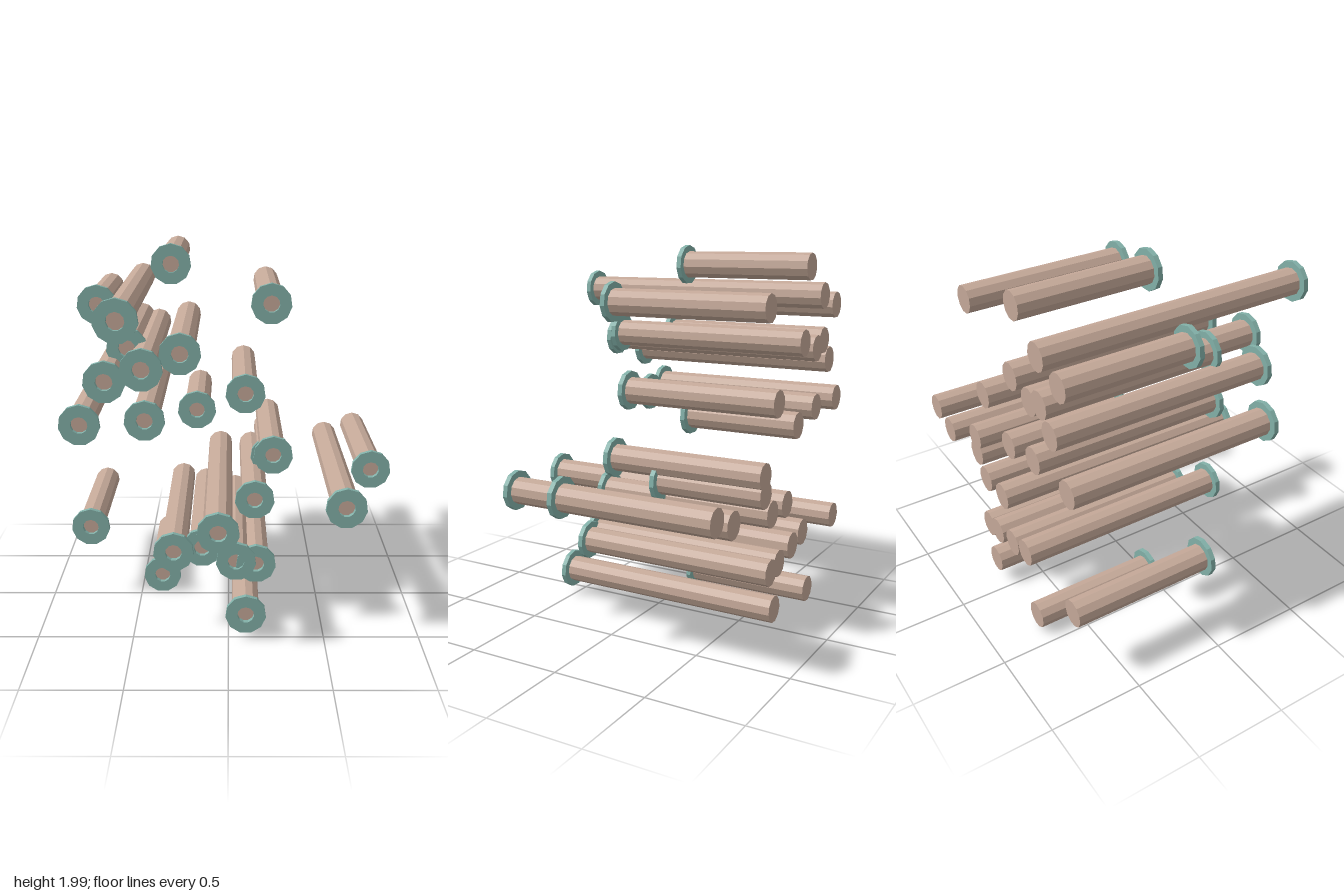
import * as THREE from 'three';

const SIDES = 11;
const BACK = -0.74;
const RING_THICKNESS = 0.026;
const SHAFT_RADIUS = 0.072;
const RING_RADIUS = 0.106;
const HOLE_RADIUS = 0.044;

// x, y and ring centre z of every rod
const RODS = [
  [-0.30, 1.895, -0.01], [-0.51, 1.735, 0.725], [-0.70, 1.675, -0.055], [0.22, 1.715, 0.15],
  [-0.52, 1.495, 0.195], [-0.42, 1.46, 0.525], [-0.24, 1.505, 0.38], [-0.61, 1.38, 0.445],
  [-0.75, 1.145, 0.395], [-0.43, 1.14, 0.305], [-0.175, 1.08, -0.105], [0.09, 1.235, 0.13],
  [0.24, 0.895, 0.13], [0.23, 0.80, -0.145], [0.595, 0.745, 0.515], [0.77, 0.805, 0.105],
  [-0.05, 0.685, 0.69], [0.14, 0.68, 0.235], [-0.285, 0.47, 0.44], [-0.14, 0.435, 0.305],
  [0.04, 0.39, 0.38], [0.145, 0.37, 0.365], [-0.77, 0.44, 0.037], [0.09, 0.155, 0.52],
  [-0.38, 0.11, -0.04],
];

// Turn a y-axis solid to face +z with a corner at the top
const faceFront = (geometry) => geometry.rotateY(Math.PI).rotateX(Math.PI / 2);

export function createModel() {
  const model = new THREE.Group();
  model.name = 'rodCluster';
  const shaftMaterial = new THREE.MeshStandardMaterial({ color: 0xc4a898, flatShading: true });
  shaftMaterial.name = 'dustyBeige';
  const ringMaterial = new THREE.MeshStandardMaterial({ color: 0x82b0a8, flatShading: true });
  ringMaterial.name = 'softTeal';

  // Flat ring with a hole, shared by all rods
  const h = RING_THICKNESS / 2;
  const profile = [
    [HOLE_RADIUS, -h], [RING_RADIUS, -h], [RING_RADIUS, h], [HOLE_RADIUS, h], [HOLE_RADIUS, -h],
  ].map(([r, y]) => new THREE.Vector2(r, y));
  const ringGeometry = faceFront(new THREE.LatheGeometry(profile, SIDES));

  RODS.forEach(([x, y, z], i) => {
    const rod = new THREE.Group();
    rod.name = `rod${i + 1}`;
    rod.position.set(x, y, 0);

    // Shaft runs from the common back plane to the back of the ring
    const length = z - h - BACK;
    const shaft = new THREE.Mesh(
      faceFront(new THREE.CylinderGeometry(SHAFT_RADIUS, SHAFT_RADIUS, length, SIDES)), shaftMaterial);
    shaft.name = 'shaft';
    shaft.position.z = BACK + length / 2;

    const ring = new THREE.Mesh(ringGeometry, ringMaterial);
    ring.name = 'endRing';
    ring.position.z = z;

    rod.add(shaft, ring);
    model.add(rod);
  });
  return model;
}
